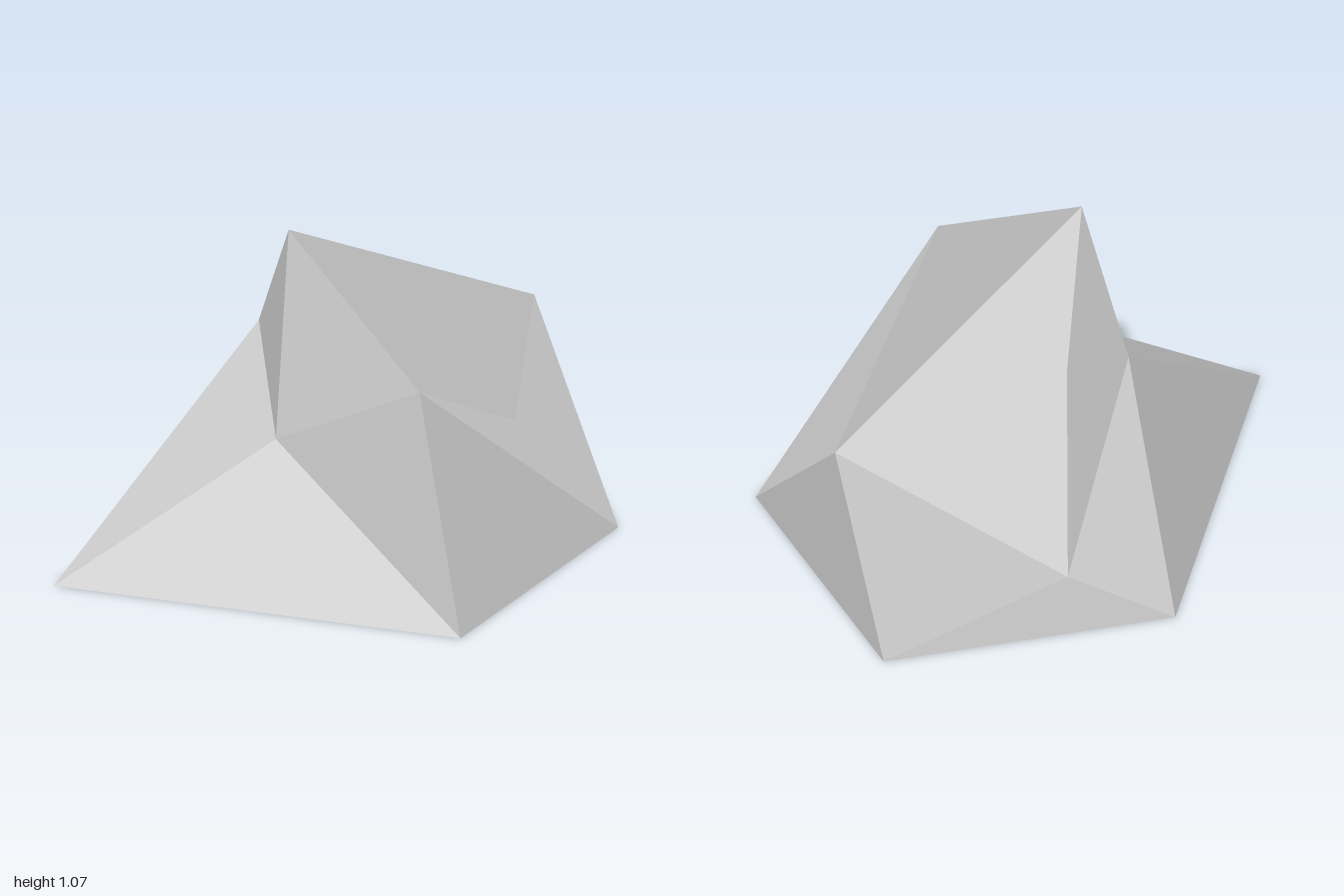
import * as THREE from 'three';

// Corners of the boulder
const corners = {
  // ground outline
  A: [-0.84, 0, -0.24], B: [-0.27, 0, 1], C: [0.835, 0, 0.235], D: [0.615, 0, -0.71], E: [-0.28, 0, -1],
  // peak and upper shoulders
  P: [-0.11, 1.067, 0.14], Q: [0.55, 0.71, 0.16], T: [-0.01, 0.63, -0.9], S: [-0.39, 0.655, 0.05],
  // hollows between the facets
  R: [0.05, 0.435, 0.33], V: [-0.375, 0.75, -0.24], U: [-0.59, 0.185, -0.48], W: [0.265, 0.33, -0.545],
};

// Facets, counter-clockwise from outside; the four-cornered ones are slightly folded
const facets = [
  'PSR PRQ RCQ RBC SBR SAB', // front
  'QCD QWTP WQDT',           // right side
  'TDE TEU UEA TUVP',        // back
  'UAS VUSP',                // notch on the other side
  'AEDCB',                   // underside
].join(' ').split(' ');

// One even normal for a whole facet, even where it is folded
function facetNormal(points) {
  const normal = new THREE.Vector3();
  points.forEach((p, i) => {
    normal.add(new THREE.Vector3().crossVectors(p, points[(i + 1) % points.length]));
  });
  return normal.normalize();
}

function boulderGeometry() {
  const positions = [];
  const normals = [];
  for (const facet of facets) {
    const points = [...facet].map((c) => new THREE.Vector3(...corners[c]));
    const normal = facetNormal(points);
    // fan of triangles from the first corner
    for (let i = 1; i < points.length - 1; i++) {
      for (const p of [points[0], points[i], points[i + 1]]) {
        positions.push(...p);
        normals.push(...normal);
      }
    }
  }
  const geometry = new THREE.BufferGeometry();
  geometry.setAttribute('position', new THREE.Float32BufferAttribute(positions, 3));
  geometry.setAttribute('normal', new THREE.Float32BufferAttribute(normals, 3));
  return geometry;
}

export function createModel() {
  const stone = new THREE.MeshStandardMaterial({ color: 0xc5c5c5 });
  stone.name = 'stoneGrey';

  const boulder = new THREE.Mesh(boulderGeometry(), stone);
  boulder.name = 'boulder';

  const group = new THREE.Group();
  group.name = 'rock';
  group.add(boulder);
  return group;
}
